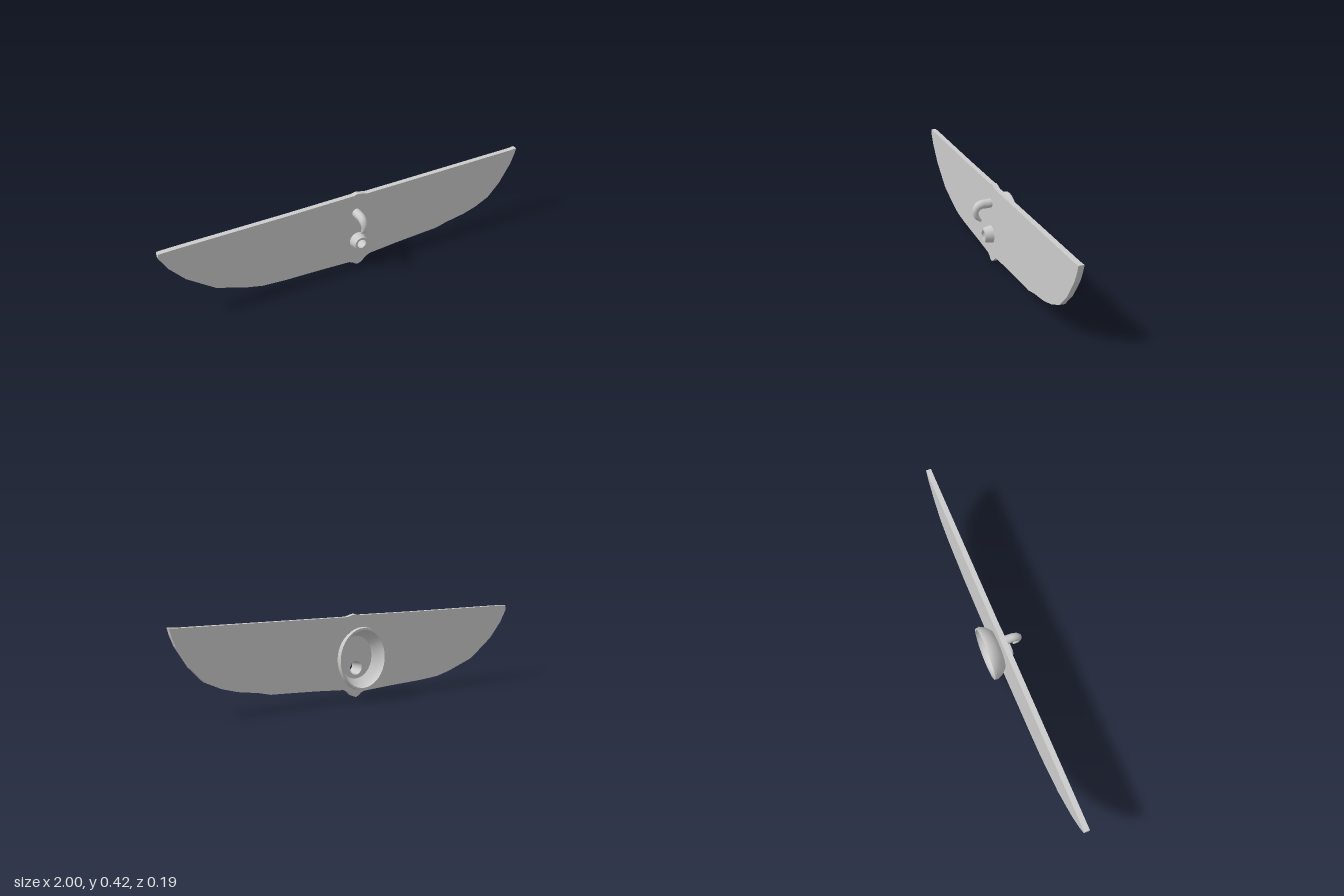
import * as THREE from 'three';

const grey = new THREE.MeshStandardMaterial({ color: 0xcccccc });
const greyBoth = new THREE.MeshStandardMaterial({ color: 0xcccccc, side: THREE.DoubleSide });

function add(group, name, geometry, material = grey) {
  const mesh = new THREE.Mesh(geometry, material);
  mesh.name = name;
  group.add(mesh);
  return mesh;
}

// Lathe whose axis runs along +z
function latheZ(points, segments) {
  const profile = points.map(([r, z]) => new THREE.Vector2(r, z));
  return new THREE.LatheGeometry(profile, segments).rotateX(Math.PI / 2);
}

// Round tube that tapers along a curve, with a closed tip
function taperedTube(curve, radii, rows, sides) {
  const geo = new THREE.TubeGeometry(curve, rows, 1, sides, false);
  const pos = geo.attributes.position;
  const v = new THREE.Vector3();
  for (let i = 0; i <= rows; i++) {
    const centre = curve.getPointAt(i / rows);
    const f = (i / rows) * (radii.length - 1);
    const k = Math.min(Math.floor(f), radii.length - 2);
    const r = THREE.MathUtils.lerp(radii[k], radii[k + 1], f - k);
    for (let j = 0; j <= sides; j++) {
      const n = i * (sides + 1) + j;
      v.fromBufferAttribute(pos, n).sub(centre).multiplyScalar(r).add(centre);
      pos.setXYZ(n, v.x, v.y, v.z);
    }
  }
  geo.computeVertexNormals();
  return geo;
}

export function createModel() {
  const model = new THREE.Group();
  const cx = 0.02, spoutY = 0.15, thick = 0.027;

  // Wide blade-shaped plate with a drilled hole
  const outline = [
    [-1, 0.405], [-1, 0.38], [-0.963, 0.315], [-0.888, 0.23], [-0.749, 0.128],
    [-0.59, 0.073], [-0.51, 0.053], [-0.4, 0.044], [-0.177, 0.035], [-0.03, 0.027],
    [-0.01, 0.019], [0.005, 0.006], [0.02, 0], [0.045, 0.01], [0.065, 0.03], [0.09, 0.044],
    [0.25, 0.056], [0.437, 0.066], [0.506, 0.069], [0.57, 0.085], [0.677, 0.102],
    [0.757, 0.125], [0.838, 0.163], [0.907, 0.235], [0.97, 0.335], [0.99, 0.385],
    [1, 0.422], [0.96, 0.419], [0.35, 0.412], [0.07, 0.409], [0.04, 0.417],
    [0.02, 0.421], [0, 0.415], [-0.35, 0.41], [-0.92, 0.407],
  ];
  const shape = new THREE.Shape(outline.map(([x, y]) => new THREE.Vector2(x, y)));
  const hole = new THREE.Path();
  hole.absarc(cx, spoutY, 0.035, 0, Math.PI * 2, true);
  shape.holes.push(hole);
  const plate = new THREE.ExtrudeGeometry(shape, { depth: thick, bevelEnabled: false, curveSegments: 24 });
  add(model, 'plate', plate.translate(0, 0, -thick));

  // Tapered hollow spout: outer wall, front lip and bore
  const spout = new THREE.Group();
  spout.name = 'spout';
  spout.position.set(cx, spoutY, 0);
  add(spout, 'spoutWall', latheZ([[0.045, 0], [0.036, 0.043]], 32), greyBoth);
  add(spout, 'spoutLip', latheZ([[0.036, 0.043], [0.024, 0.043]], 32), greyBoth);
  add(spout, 'spoutBore', latheZ([[0.024, 0.043], [0.035, -thick]], 32), greyBoth);
  model.add(spout);

  // Hook curling forward and down to a blunt tip
  const hookPath = new THREE.CatmullRomCurve3([
    [0.012, 0.316, -0.005], [0.012, 0.315, 0.025], [0.012, 0.314, 0.05], [0.012, 0.304, 0.069],
    [0.013, 0.28, 0.081], [0.013, 0.25, 0.074], [0.014, 0.23, 0.056],
  ].map((p) => new THREE.Vector3(...p)));
  const hookRadii = [0.023, 0.023, 0.022, 0.02, 0.0155, 0.013, 0.007];
  add(model, 'hook', taperedTube(hookPath, hookRadii, 32, 20), greyBoth);
  const tip = add(model, 'hookTip', new THREE.SphereGeometry(0.007, 14, 10));
  tip.position.copy(hookPath.getPoint(1));

  // Oval flared cup on the back, open to the rear
  const cup = new THREE.Group();
  cup.name = 'cup';
  cup.position.set(cx, 0.204, -thick);
  cup.scale.set(0.88, 1, 1);
  add(cup, 'cupOuter', latheZ([[0.114, 0], [0.125, -0.01], [0.142, -0.024], [0.158, -0.053], [0.155, -0.07]], 40), greyBoth);
  add(cup, 'cupRim', latheZ([[0.155, -0.07], [0.145, -0.07]], 40), greyBoth);
  add(cup, 'cupInner', latheZ([[0.145, -0.07], [0.146, -0.053], [0.131, -0.026], [0.108, 0]], 40), greyBoth);
  model.add(cup);

  return model;
}
